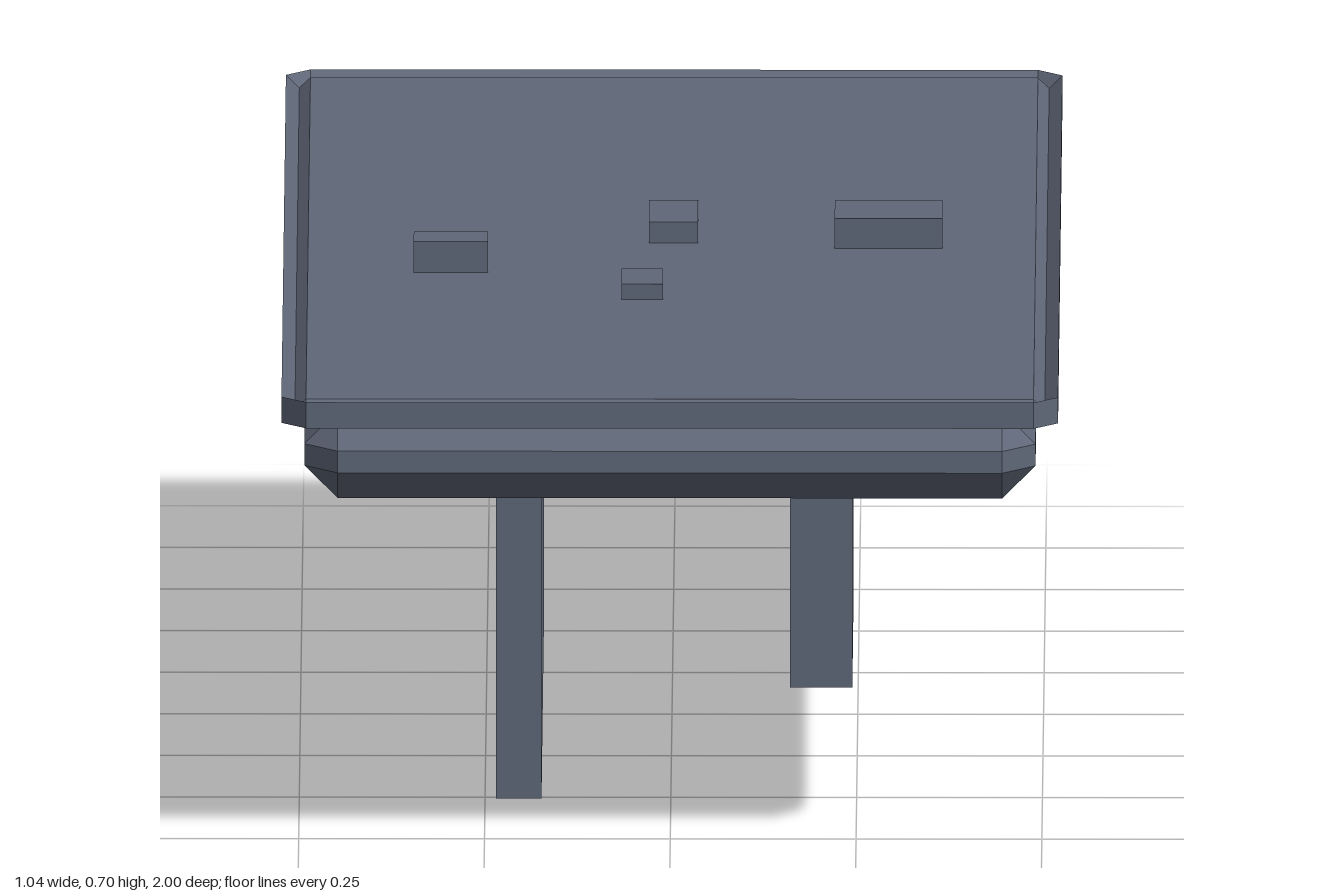
import * as THREE from 'three';

const material = new THREE.MeshStandardMaterial({
  color: 0x5f6778, flatShading: true, side: THREE.DoubleSide,
});

// Box with every edge cut by one flat chamfer of size b.
function chamferedBox(w, h, d, b) {
  const half = [w / 2, h / 2, d / 2];
  const positions = [];
  // Corner point lying on the face of the given axis, inset along the other two.
  const point = (axis, signs) => new THREE.Vector3(
    ...signs.map((s, i) => s * (half[i] - (i === axis ? 0 : b))));
  // Adds a triangle or quad, wound to face the given direction.
  const addFace = (pts, signs) => {
    const out = new THREE.Vector3(...signs);
    const normal = pts[1].clone().sub(pts[0]).cross(pts[2].clone().sub(pts[0]));
    const p = normal.dot(out) < 0 ? pts.slice().reverse() : pts;
    for (let i = 1; i < p.length - 1; i++) {
      for (const v of [p[0], p[i], p[i + 1]]) positions.push(v.x, v.y, v.z);
    }
  };
  const signs = (axis, s, u, v) => {
    const r = [0, 0, 0];
    r[axis] = s;
    r[(axis + 1) % 3] = u;
    r[(axis + 2) % 3] = v;
    return r;
  };
  for (let axis = 0; axis < 3; axis++) {
    const next = (axis + 1) % 3;
    for (const s of [-1, 1]) {
      // main face
      addFace([[-1, -1], [1, -1], [1, 1], [-1, 1]]
        .map(([u, v]) => point(axis, signs(axis, s, u, v))), signs(axis, s, 0, 0));
      for (const u of [-1, 1]) {
        // edge chamfer between this face and the next axis' face
        const a = signs(axis, s, u, -1), c = signs(axis, s, u, 1);
        addFace([point(axis, a), point(axis, c), point(next, c), point(next, a)],
          signs(axis, s, u, 0));
      }
    }
  }
  // corner triangles
  for (const x of [-1, 1]) for (const y of [-1, 1]) for (const z of [-1, 1]) {
    addFace([0, 1, 2].map((axis) => point(axis, [x, y, z])), [x, y, z]);
  }
  const geometry = new THREE.BufferGeometry();
  geometry.setAttribute('position', new THREE.Float32BufferAttribute(positions, 3));
  geometry.computeVertexNormals();
  return geometry;
}

export function createModel() {
  const model = new THREE.Group();
  model.name = 'table';

  const add = (name, geometry, x, y, z) => {
    const mesh = new THREE.Mesh(geometry, material);
    mesh.name = name;
    mesh.position.set(x, y, z);
    model.add(mesh);
  };
  // Plain block given by its limits on each axis.
  const block = (name, [x0, x1], [y0, y1], [z0, z1]) => add(name,
    new THREE.BoxGeometry(x1 - x0, y1 - y0, z1 - z0),
    (x0 + x1) / 2, (y0 + y1) / 2, (z0 + z1) / 2);

  // Thin top: the chamfer is deeper than half its height, so a fine rim stands at the edge.
  add('tableTop', chamferedBox(1.045, 0.03, 2, 0.033), 0, 0.642, 0);
  add('tableBody', chamferedBox(0.984, 0.12, 1.876, 0.045), 0, 0.564, 0.003);

  // Supports
  block('crossBeam', [-0.392, 0.392], [0.423, 0.49], [-0.032, 0.032]);
  block('rightLegPanel', [-0.235, -0.174], [0, 0.465], [-0.486, 0.508]);
  block('leftLegPanel', [0.16, 0.244], [0.135, 0.465], [-0.064, 0.428]);

  // Small blocks lying on the top
  block('rightBlock', [-0.347, -0.247], [0.64, 0.7], [0.148, 0.208]);
  block('leftBlock', [0.219, 0.364], [0.64, 0.698], [-0.052, 0.06]);
  block('middleBlock', [-0.031, 0.035], [0.64, 0.686], [-0.105, 0.028]);
  block('frontBlock', [-0.067, -0.011], [0.64, 0.678], [0.272, 0.367]);

  return model;
}
